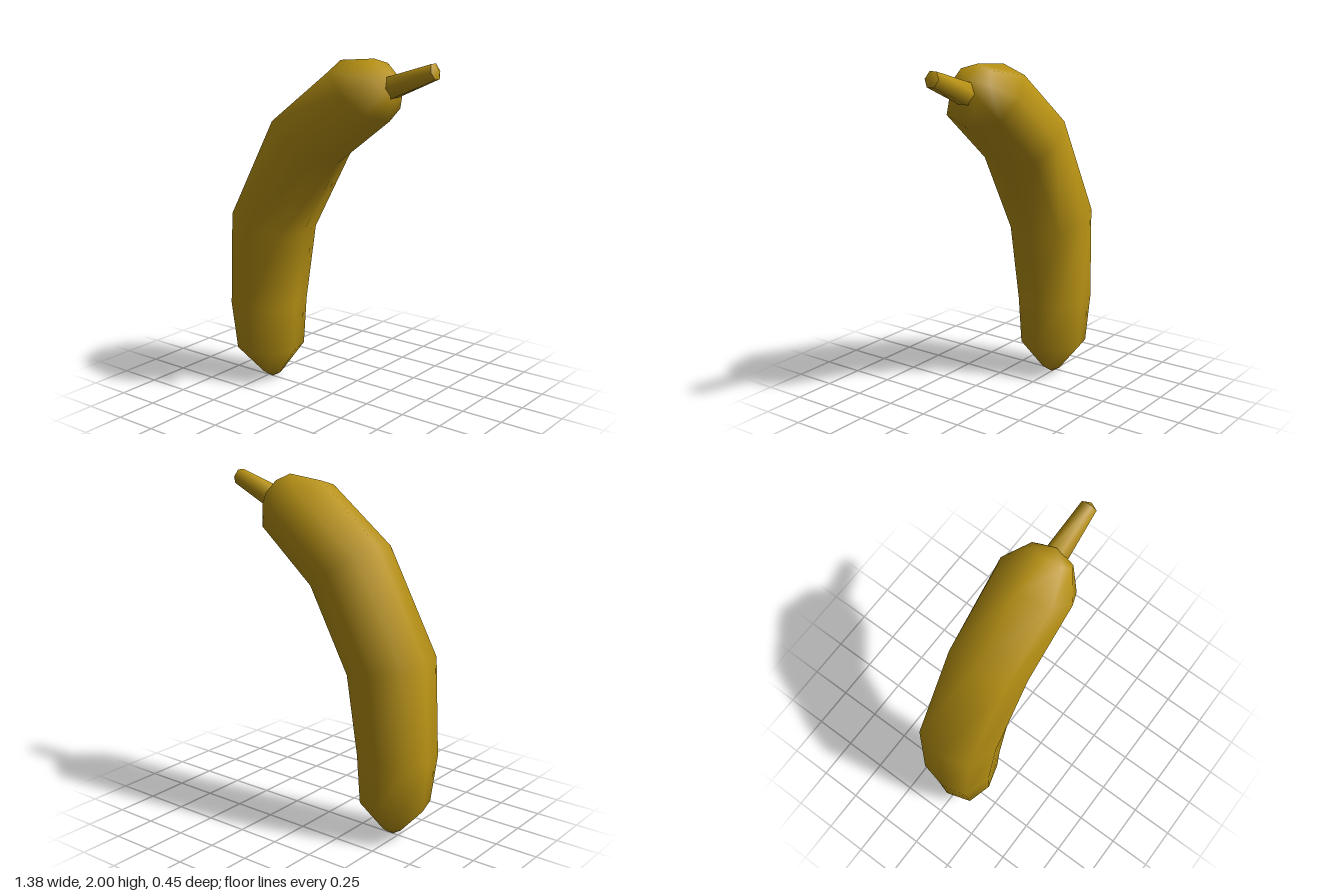
import * as THREE from 'three';

const material = new THREE.MeshStandardMaterial({ color: 0xb89214, roughness: 0.8 });

// Skins rings with pointed ends. Each ring is [outerX, outerY, innerX, innerY, halfDepth, corner...],
// section(ring) lists its points as [across, depth] factors; start and end are [x, y] tips.
function loft(name, rings, section, start, end) {
  const pos = [start[0], start[1], 0], index = [];
  let n = 0;
  for (const ring of rings) {
    const [ox, oy, ix, iy, depth] = ring;
    const points = section(ring);
    n = points.length;
    for (const [a, d] of points) {
      pos.push((ox + ix) / 2 + a * (ox - ix) / 2, (oy + iy) / 2 + a * (oy - iy) / 2, d * depth);
    }
  }
  pos.push(end[0], end[1], 0);
  const last = pos.length / 3 - 1;
  const at = (i, j) => 1 + i * n + (j % n);
  for (let j = 0; j < n; j++) {
    index.push(0, at(0, j + 1), at(0, j));
    for (let i = 0; i < rings.length - 1; i++) {
      const a = at(i, j), b = at(i, j + 1), c = at(i + 1, j + 1), d = at(i + 1, j);
      index.push(a, b, c, a, c, d);
    }
    index.push(at(rings.length - 1, j), at(rings.length - 1, j + 1), last);
  }
  const geometry = new THREE.BufferGeometry();
  geometry.setAttribute('position', new THREE.Float32BufferAttribute(pos, 3));
  geometry.setIndex(index);
  geometry.computeVertexNormals();
  const mesh = new THREE.Mesh(geometry, material);
  mesh.name = name;
  return mesh;
}

// Eight-sided section; the sixth ring value sets how square its corners are
const octagon = ([, , , , , k]) => [
  [1, 0], [k, 0.78], [0, 1], [-k, 0.78], [-1, 0], [-k, -0.78], [0, -1], [k, -0.78],
];

// Six-sided section with a flat top and bottom
const hexagon = () => [
  [1, 0.5], [0, 1], [-1, 0.5], [-1, -0.5], [0, -1], [1, -0.5],
];

export function createModel() {
  const group = new THREE.Group();
  group.name = 'banana';

  // Curved fruit, from the bottom tip to the shoulder
  group.add(loft('fruit', [
    [-0.52, 0.035, -0.41, 0.035, 0.055, 0.72],
    [-0.665, 0.195, -0.29, 0.21, 0.187, 0.76],
    [-0.69, 0.48, -0.285, 0.5, 0.2, 0.83],
    [-0.655, 1.06, -0.22, 0.95, 0.223, 0.82],
    [-0.335, 1.66, 0.035, 1.4, 0.226, 0.78],
    [0.055, 1.98, 0.385, 1.67, 0.226, 0.7],
    [0.28, 2.0, 0.425, 1.8, 0.127, 0.7],
  ], octagon, [-0.465, 0], [0.39, 1.925]));

  // Tapered stalk; the repeated last ring keeps its cut end crisp
  const stalkEnd = [0.655, 1.995, 0.68, 1.915, 0.046];
  group.add(loft('stalk', [
    [0.35, 1.9, 0.4, 1.79, 0.067],
    stalkEnd, stalkEnd,
  ], hexagon, [0.36, 1.84], [0.688, 1.96]));

  return group;
}
